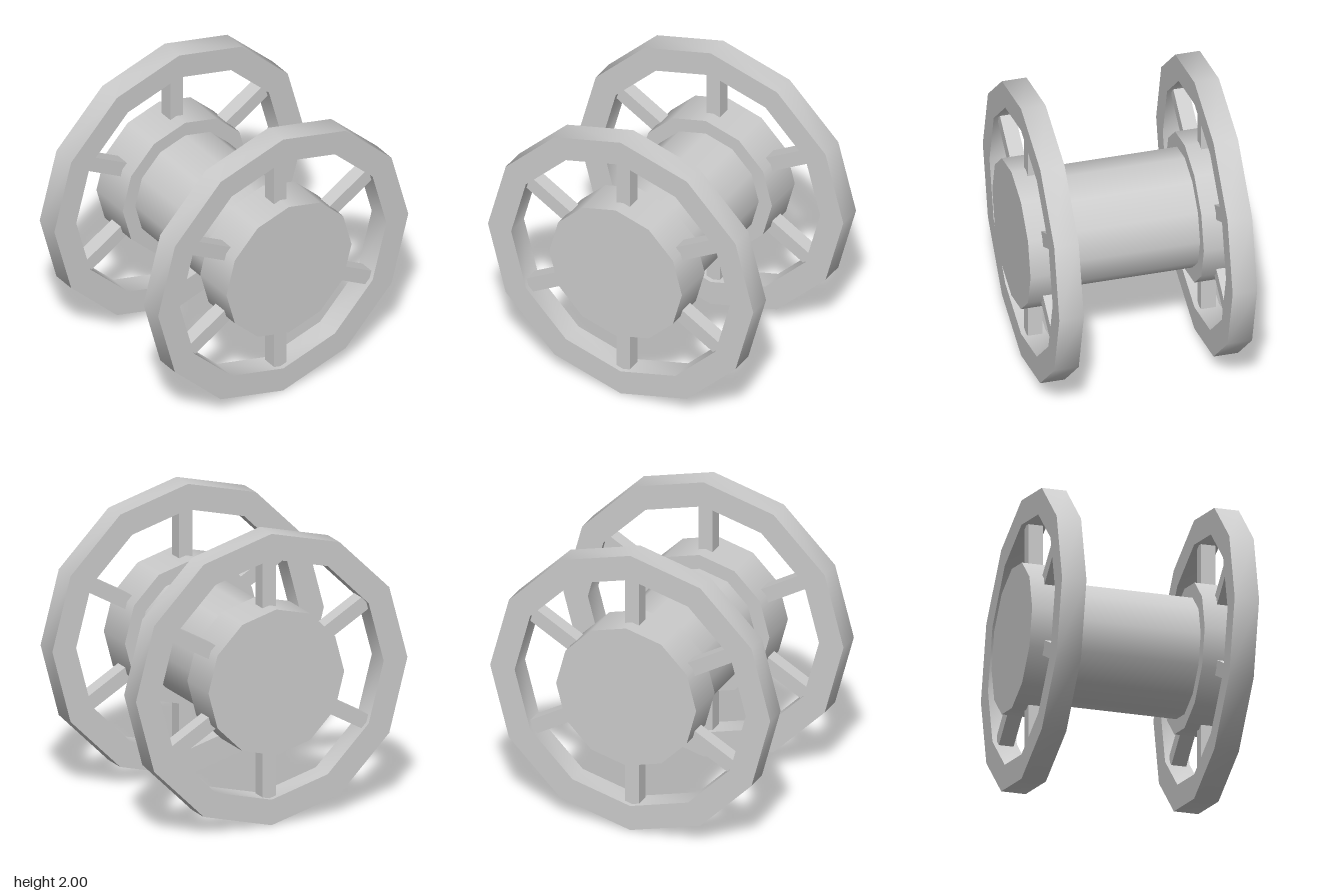
import * as THREE from 'three';
import { toCreasedNormals } from 'three/addons/utils/BufferGeometryUtils.js';

const SIDES = 12;
const material = new THREE.MeshStandardMaterial({ color: 0xcccccc });

function part(name, geometry, parent) {
  const mesh = new THREE.Mesh(geometry, material);
  mesh.name = name;
  parent.add(mesh);
  return mesh;
}

// Twelve-sided drum lying along z
function drum(radius, length) {
  return new THREE.CylinderGeometry(radius, radius, length, SIDES).rotateX(Math.PI / 2);
}

function polygon(radius) {
  return Array.from({ length: SIDES }, (_, i) => {
    const a = (i / SIDES) * Math.PI * 2;
    return new THREE.Vector2(Math.cos(a) * radius, Math.sin(a) * radius);
  });
}

// Twelve-sided ring, smooth around, sharp at its edges
function rimGeometry(outer, inner, depth) {
  const shape = new THREE.Shape(polygon(outer));
  shape.holes.push(new THREE.Path(polygon(inner).reverse()));
  const geometry = new THREE.ExtrudeGeometry(shape, { depth, bevelEnabled: false });
  geometry.translate(0, 0, -depth / 2);
  return toCreasedNormals(geometry, 0.7);
}

function makeWheel(name) {
  const wheel = new THREE.Group();
  wheel.name = name;
  part('rim', rimGeometry(1, 0.825, 0.165), wheel);
  part('hub', drum(0.5, 0.295), wheel);

  // Six square spokes from hub to rim
  const inner = 0.45, outer = 0.83;
  for (let i = 0; i < 6; i++) {
    const geometry = new THREE.BoxGeometry(0.1, outer - inner, 0.1);
    geometry.translate(0, (inner + outer) / 2, 0);
    part('spoke', geometry, wheel).rotation.z = (i * Math.PI) / 3;
  }
  return wheel;
}

export function createModel() {
  const model = new THREE.Group();
  model.name = 'wheelPair';

  // Axle drum between the two wheels
  part('axle', drum(0.4, 1), model).position.y = 1;

  for (const [name, side] of [['frontWheel', 1], ['backWheel', -1]]) {
    const wheel = makeWheel(name);
    wheel.position.set(0, 1, side * 0.583);
    model.add(wheel);
  }
  return model;
}
